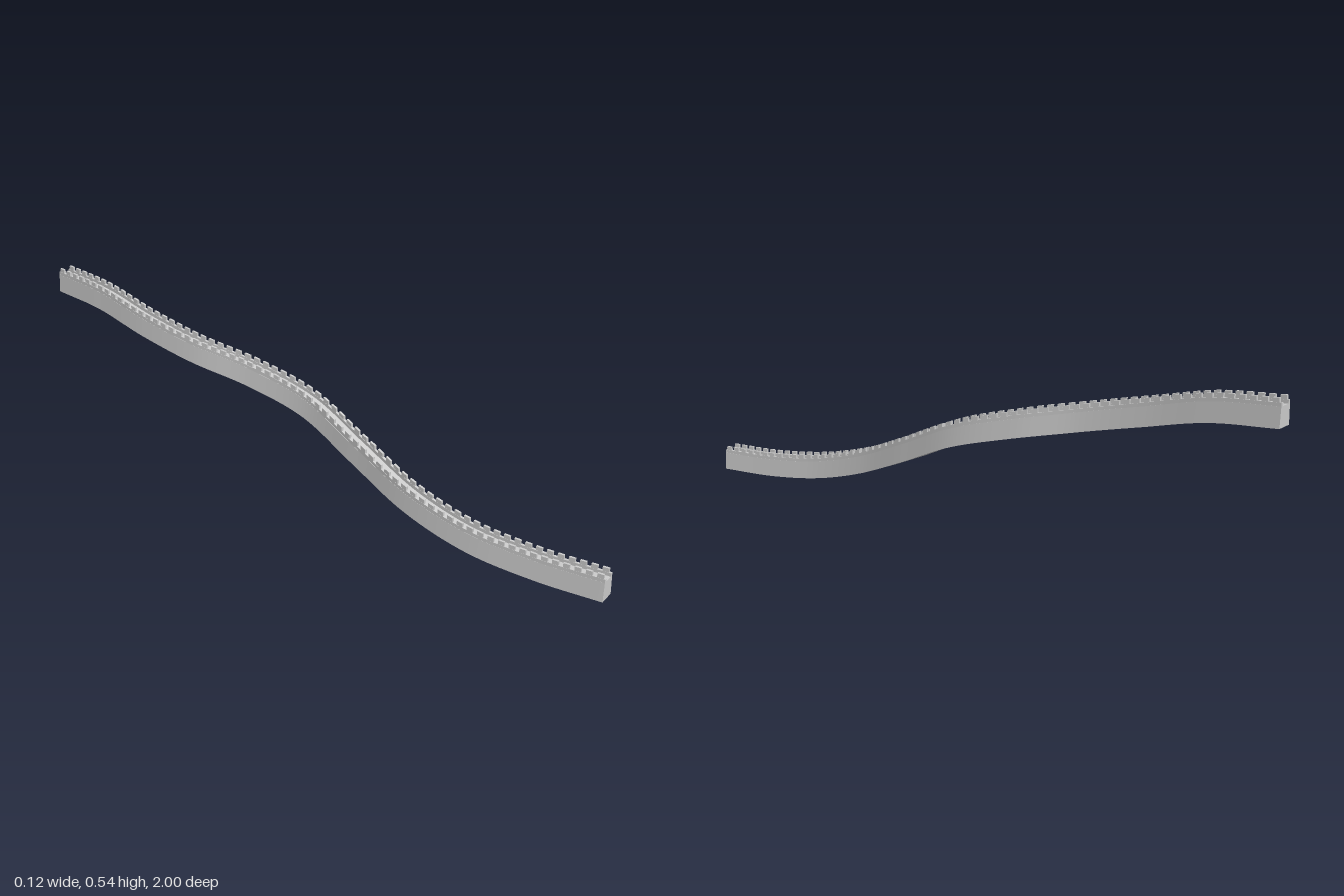
import * as THREE from 'three';
import { mergeGeometries, toCreasedNormals } from 'three/addons/utils/BufferGeometryUtils.js';

// Centre line of the wall's foot, evenly spaced from the front (z = 1) to the back (z = -1)
const pathX = [0.002, -0.016, -0.031, -0.025, 0.005, 0.03, 0.016, -0.018, -0.024, -0.011, 0.003];
const pathY = [0, 0.006, 0.031, 0.086, 0.167, 0.254, 0.31, 0.354, 0.399, 0.445, 0.464];
const path = new THREE.CatmullRomCurve3(
  pathX.map((x, i) => new THREE.Vector3(x, pathY[i], 1 - i * 0.2)), false, 'catmullrom', 0.5);

// Moves a straight piece lying along z onto the winding path
function bend(geometry) {
  const pos = geometry.attributes.position;
  const v = new THREE.Vector3();
  for (let i = 0; i < pos.count; i++) {
    v.fromBufferAttribute(pos, i);
    const t = THREE.MathUtils.clamp((1 - v.z) / 2, 0, 1);
    const p = path.getPoint(t);
    const d = path.getTangent(t);
    const len = Math.hypot(d.x, d.z);
    const z = THREE.MathUtils.clamp(p.z + v.x * d.x / len, -1, 1);
    pos.setXYZ(i, p.x - v.x * d.z / len, p.y + v.y, z);
  }
  return toCreasedNormals(geometry, 0.5);
}

// Extrudes a cross-section along part of the wall
function run(points, z0 = -1, length = 2, steps = 120) {
  const shape = new THREE.Shape(points.map(([x, y]) => new THREE.Vector2(x, y)));
  const g = new THREE.ExtrudeGeometry(shape, { depth: length, steps, bevelEnabled: false });
  g.translate(0, 0, z0);
  return bend(g);
}

// Cross-section of a parapet layer on one side
const layer = (side, inner, outer, y0, y1) =>
  [[side * inner, y0], [side * outer, y0], [side * outer, y1], [side * inner, y1]];

export function createModel() {
  const group = new THREE.Group();
  group.name = 'windingWall';
  const material = new THREE.MeshStandardMaterial({ color: 0xcccccc });
  const add = (name, geometry) => {
    const mesh = new THREE.Mesh(geometry, material);
    mesh.name = name;
    group.add(mesh);
  };

  // Tapered wall body with a walkway on top
  add('wallBody', run([[-0.0275, 0], [0.0275, 0], [0.0245, 0.057], [-0.0245, 0.057]]));

  const count = 64;
  const pitch = 2 / count;
  const width = pitch * 0.58;
  for (const side of [1, -1]) {
    const label = side > 0 ? 'left' : 'right';
    // Low continuous parapet
    add(label + 'Parapet', run(layer(side, 0.0155, 0.024, 0.0565, 0.067)));
    // Row of merlons
    const merlons = [];
    for (let i = 0; i < count; i++) {
      const z = -1 + (i + 0.5) * pitch - width / 2;
      merlons.push(run(layer(side, 0.016, 0.0235, 0.066, 0.079), z, width, 2));
    }
    add(label + 'Merlons', mergeGeometries(merlons));
  }
  return group;
}
